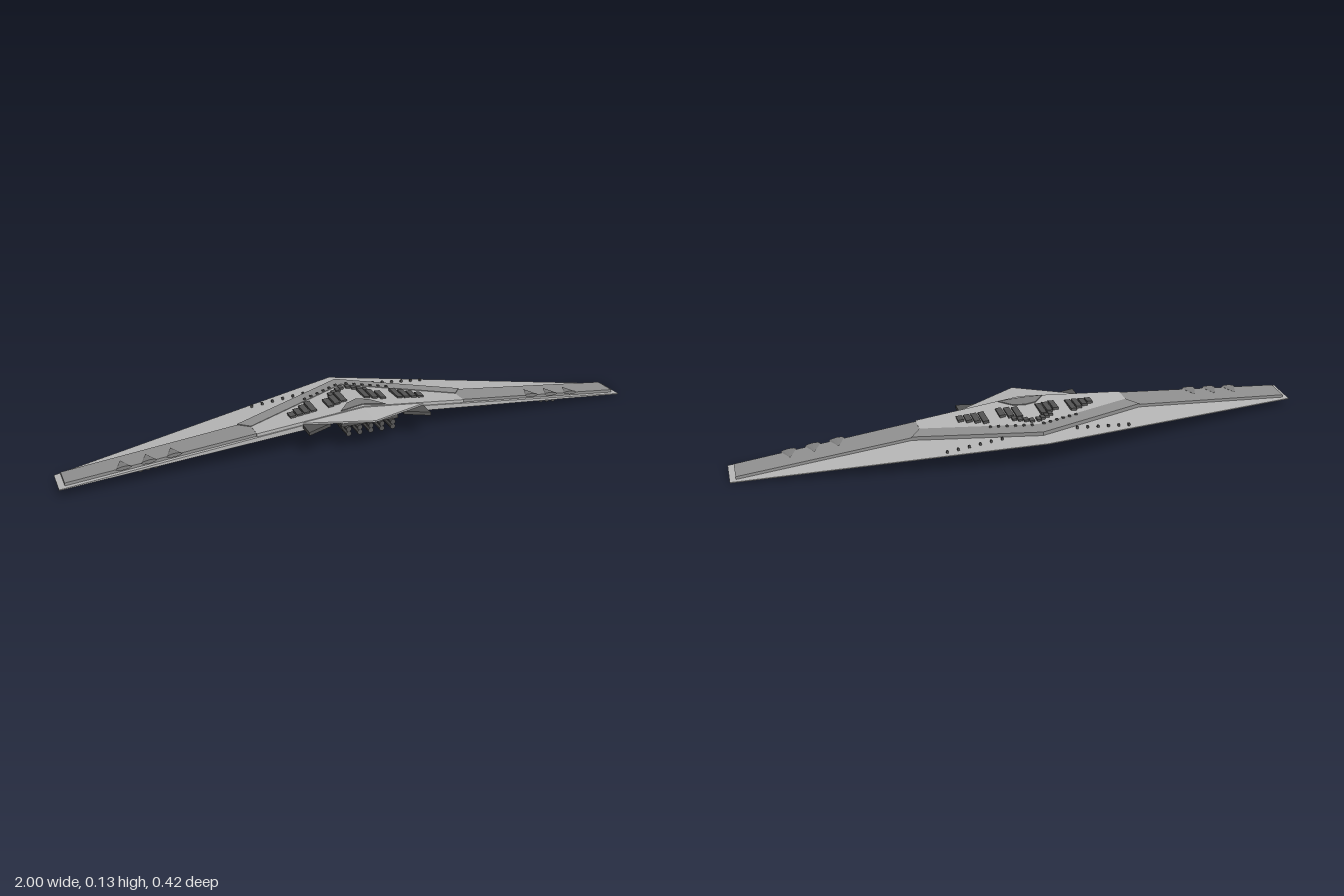
import * as THREE from 'three';

const mat = (name, color, opts = {}) => {
  const m = new THREE.MeshStandardMaterial({ color, flatShading: true, ...opts });
  m.name = name;
  return m;
};

// Height of the swept, drooping upper wing surface
const surf = (x, z) => 0.10 + 0.05 * (z + 0.21) - 0.098 * Math.abs(x);
// Points [x, z] laid on the wing surface with an offset
const on = (pts, lift) => pts.map(([x, z]) => [x, surf(x, z) + lift, z]);
const mirror = pts => pts.map(([x, ...rest]) => [-x, ...rest]);

// Solid plate from an upper outline; t is one thickness or one per corner
function plate(outline, t) {
  let pts = outline.map((p, i) => ({ p, t: Array.isArray(t) ? t[i] : t }));
  const flat = () => pts.map(({ p }) => new THREE.Vector2(p[0], -p[2]));
  if (THREE.ShapeUtils.isClockWise(flat())) pts.reverse();
  const top = i => pts[i].p;
  const low = i => [top(i)[0], top(i)[1] - pts[i].t, top(i)[2]];
  const v = [];
  for (const [a, b, c] of THREE.ShapeUtils.triangulateShape(flat(), [])) {
    v.push(...top(a), ...top(b), ...top(c), ...low(a), ...low(c), ...low(b));
  }
  for (let i = 0; i < pts.length; i++) {
    const j = (i + 1) % pts.length;
    v.push(...low(i), ...low(j), ...top(j), ...low(i), ...top(j), ...top(i));
  }
  const g = new THREE.BufferGeometry();
  g.setAttribute('position', new THREE.Float32BufferAttribute(v, 3));
  g.computeVertexNormals();
  return g;
}

export function createModel() {
  const light = mat('light hull', 0xb8b8b8);
  const mid = mat('band grey', 0x929292);
  const pod = mat('pod grey', 0x808080);
  const dark = mat('dark machinery', 0x555555);
  const model = new THREE.Group();
  model.name = 'flyingWingShip';

  const add = (name, geo, material) => {
    const m = new THREE.Mesh(geo, material);
    m.name = name;
    model.add(m);
    return m;
  };
  const pair = (name, pts, t, material) => {
    add(name + 'Left', plate(pts, t), material);
    add(name + 'Right', plate(mirror(pts), t), material);
  };
  const box = (name, w, h, d, x, y, z, material, roll = 0) => {
    const m = add(name, new THREE.BoxGeometry(w, h, d), material);
    m.position.set(x, y, z);
    m.rotation.z = roll;
    return m;
  };
  const engineGeo = new THREE.CylinderGeometry(0.009, 0.009, 1, 10).rotateX(Math.PI / 2);
  const engine = (name, x, y, z, len) => {
    const m = add(name, engineGeo, dark);
    m.position.set(x, y, z);
    m.scale.z = len;
  };

  // Main wing, thick at the centre and thin at the tips
  pair('wing', on([[0, -0.21], [1, 0.015], [1, 0.125], [0, 0.115]], 0),
    [0.003, 0.003, 0.003, 0.022], light);

  // Raised chevron and wing bands
  const lift = 0.010;
  pair('chevronBand', on([[0, -0.155], [0.405, 0.008], [0.37, 0.05], [0, -0.10]], lift + 0.003), 0.013, mid);
  pair('wingBand', on([[0.405, 0.008], [0.98, 0.025], [0.98, 0.108], [0.37, 0.108], [0.37, 0.05]], lift), 0.010, mid);

  // Central deck and pointed tail
  pair('deck', on([[0, -0.10], [0.37, 0.05], [0.37, 0.113], [0, 0.113]], lift + 0.001), 0.013, light);
  pair('tail', [[0, 0.124, 0.10], [0.22, 0.103, 0.113], [0, 0.118, 0.21]], 0.006, light);
  pair('tailChevron', on([[0, 0.045], [0.04, 0.06], [0.08, 0.108], [0, 0.098]], 0.014), 0.006, pod);

  for (const s of [1, -1]) {
    const roll = -s * 0.098;

    // Outer machinery, stepped backward
    for (let i = 0; i < 4; i++) {
      const x = 0.155 + i * 0.025, z = 0.022 + i * 0.009;
      box('outerMachinery', 0.02, 0.009, 0.075 - i * 0.014, s * x, surf(x, z) + 0.014, z, dark, roll);
    }
    // Inner machinery
    for (let i = 0; i < 3; i++) {
      const x = 0.042 + i * 0.026, z = 0.004 + i * 0.012;
      box('innerMachinery', 0.02, 0.009, 0.075 - i * 0.008, s * x, surf(x, z) + 0.014, z, dark, roll);
    }
    // Forward stepped machinery
    for (let i = 0; i < 4; i++) {
      const x = 0.012 + i * 0.017, z = -0.068 + i * 0.012;
      box('forwardMachinery', 0.015, 0.007, 0.022, s * x, surf(x, z) + 0.015, z, dark, roll);
    }
    // Small studs along the chevron and on the forward wing
    for (let i = 0; i < 6; i++) {
      const x = 0.02 + i * 0.026, z = -0.098 + i * 0.01;
      box('deckStud', 0.008, 0.006, 0.008, s * x, surf(x, z) + 0.015, z, dark, roll);
    }
    for (let i = 0; i < 6; i++) {
      const x = 0.13 + i * 0.037, z = -0.12;
      box('wingStud', 0.007, 0.009, 0.007, s * x, surf(x, z) + 0.004, z, dark, roll);
    }

    // Flattened pointed pods near the tips
    for (const x of [0.64, 0.72, 0.80]) {
      const p = add('wingPod', new THREE.ConeGeometry(0.026, 0.055, 8).rotateX(-Math.PI / 2), pod);
      p.position.set(s * x, surf(x, 0.085) + 0.012, 0.085);
      p.scale.y = 0.25;
      p.rotation.z = roll;
    }

    // Engine clusters under the wing
    for (const [x, n] of [[0.72, 3], [0.46, 2], [0.285, 3]]) {
      for (let i = 0; i < n; i++) {
        const ex = x + (i - (n - 1) / 2) * 0.025;
        engine('wingEngine', s * ex, surf(ex, 0.05) - 0.017, 0.05, 0.085);
      }
    }
  }

  // Skewed exhaust blocks beside the tail
  pair('exhaustBlock', [[0.135, 0.102, 0.105], [0.215, 0.097, 0.115], [0.215, 0.097, 0.176], [0.13, 0.102, 0.146]], 0.012, dark);

  // Central engine bank with its mounting
  for (let i = -2; i <= 2; i++) {
    for (const y of [0.068, 0.085]) engine('mainEngine', i * 0.039, y, 0.125, 0.1);
  }
  box('engineMount', 0.2, 0.012, 0.07, 0, 0.097, 0.13, dark);

  // Slight bank of the whole craft
  model.rotation.z = -0.012;
  const root = new THREE.Group();
  root.name = 'ship';
  root.add(model);
  return root;
}
